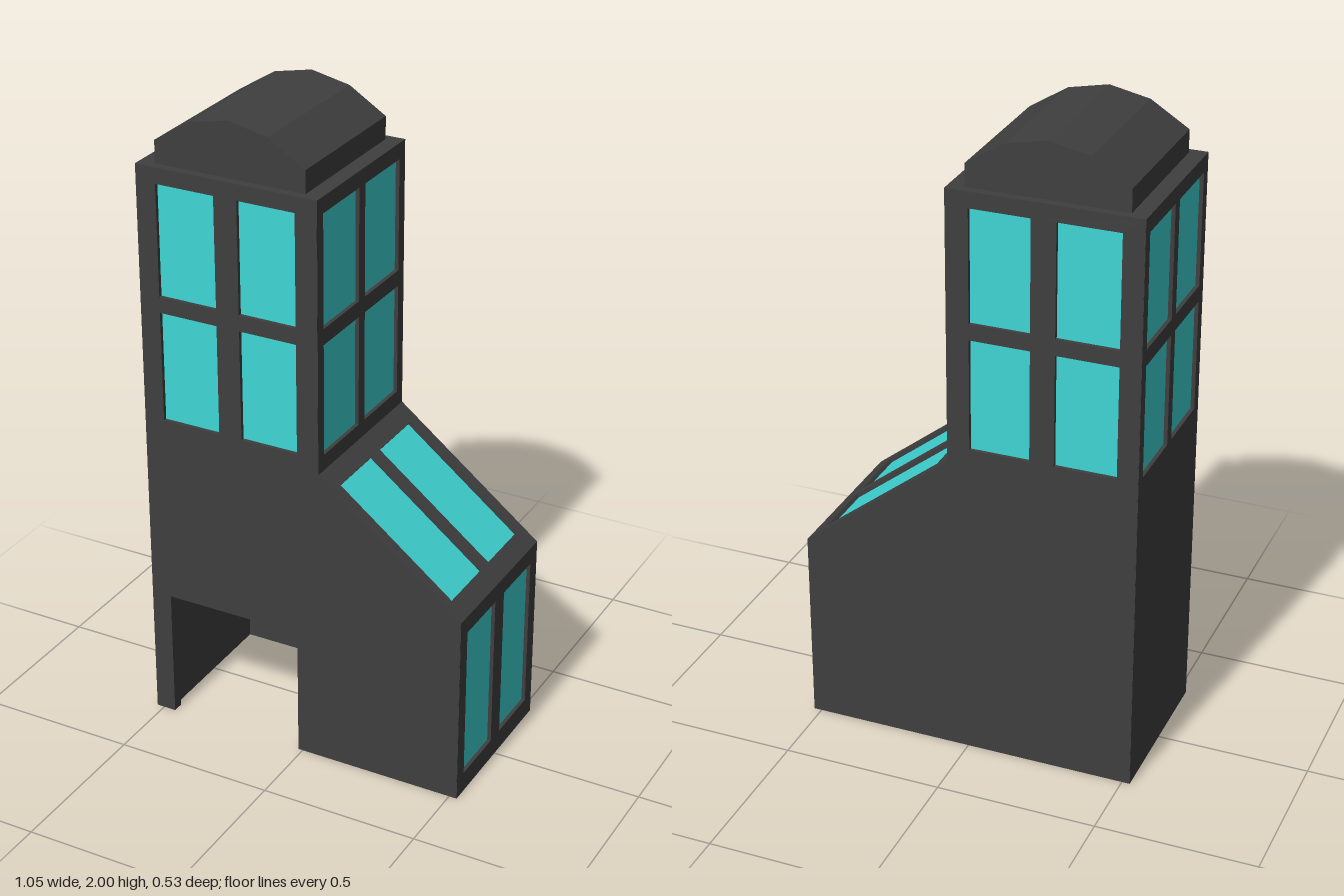
import * as THREE from 'three';

const wallMat = new THREE.MeshStandardMaterial({ color: 0x3f3f3f });
wallMat.name = 'charcoal';
const glassMat = new THREE.MeshStandardMaterial({ color: 0x40d6d6 });
glassMat.name = 'turquoise glass';

const HALF = 0.265;   // half depth of the building
const RECESS = 0.012; // how far the glass sits behind the wall face
const PANE = 0.02;

const outline = pts => new THREE.Shape(pts.map(([x, y]) => new THREE.Vector2(x, y)));

// Wall lying in local XY with its outer face at z = 0; windows are [x0, x1, y0, y1]
function wall(name, shape, windows, thick) {
  const group = new THREE.Group();
  group.name = name;
  for (const [x0, x1, y0, y1] of windows) {
    shape.holes.push(new THREE.Path([[x0, y0], [x0, y1], [x1, y1], [x1, y0]].map(p => new THREE.Vector2(...p))));
    const pane = new THREE.Mesh(new THREE.BoxGeometry(x1 - x0 + 0.006, y1 - y0 + 0.006, PANE), glassMat);
    pane.name = 'windowPane';
    pane.position.set((x0 + x1) / 2, (y0 + y1) / 2, -RECESS - PANE / 2);
    group.add(pane);
  }
  const geo = new THREE.ExtrudeGeometry(shape, { depth: thick, bevelEnabled: false });
  geo.translate(0, 0, -thick);
  const mesh = new THREE.Mesh(geo, wallMat);
  mesh.name = name + 'Panel';
  group.add(mesh);
  return group;
}

// Wall standing on the profile edge a-b (counter-clockwise), spanning the depth
function sideWall(name, a, b, windows) {
  const len = Math.hypot(b[0] - a[0], b[1] - a[1]);
  const dx = (b[0] - a[0]) / len, dy = (b[1] - a[1]) / len, w = HALF - 0.0005;
  const g = wall(name, outline([[0, -w], [len, -w], [len, w], [0, w]]), windows, 0.05);
  g.applyMatrix4(new THREE.Matrix4().makeBasis(
    new THREE.Vector3(dx, dy, 0), new THREE.Vector3(0, 0, 1), new THREE.Vector3(dy, -dx, 0)
  ).setPosition(a[0], a[1], 0));
  return g;
}

// All combinations of horizontal and vertical window ranges
const grid = (us, vs) => us.flatMap(u => vs.map(v => [...u, ...v]));
const pair = (inner, outer) => [[-outer, -inner], [inner, outer]];

export function createModel() {
  const model = new THREE.Group();
  model.name = 'towerHouse';

  const rows = [[1.03, 1.38], [1.43, 1.782]];
  const shift = f => rows.map(([a, b]) => [f(a), f(b)].sort((p, q) => p - q));

  // Tower and sloped wing, side by side along the profile
  const R = [0.525, 0], E = [0.525, 0.615], K = [0.06, 0.98], T = [0.06, 1.83], L = [-0.525, 1.83], B = [-0.525, 0];
  model.add(
    sideWall('wingEndWall', R, E, grid([[0.065, 0.56]], pair(0.03, 0.22))),
    sideWall('wingSlopedRoof', E, K, grid([[0.064, 0.527]], pair(0.022, 0.224))),
    sideWall('towerInnerWall', K, T, grid(shift(y => y - 0.98), pair(0.018, 0.2295))),
    sideWall('towerDeck', T, L, []),
    sideWall('towerOuterWall', L, B, grid(shift(y => 1.83 - y), pair(0.018, 0.2295)))
  );

  // Front wall with doorway, and back wall
  const top = [[0.524, 0], [0.524, 0.6145], [0.059, 0.9795], [0.059, 1.829], [-0.524, 1.829], [-0.524, 0]];
  const door = [[-0.46, 0], [-0.46, 0.42], [-0.015, 0.42], [-0.015, 0]];
  const cols = [[-0.46, -0.27], [-0.195, -0.01]];
  const front = wall('frontWall', outline([...top, ...door]), grid(cols, rows), 0.035);
  front.position.z = HALF;
  const back = wall('backWall', outline(top.map(([x, y]) => [-x, y]).reverse()),
    grid(cols.map(([a, b]) => [-b, -a]), rows), 0.035);
  back.rotation.y = Math.PI;
  back.position.z = -HALF;
  model.add(front, back);

  // Faceted barrel roof
  const roofShape = outline([[-0.475, 1.825], [0.01, 1.825], [0.01, 1.9], [-0.108, 1.974],
    [-0.2325, 2], [-0.357, 1.974], [-0.475, 1.9]]);
  const roofGeo = new THREE.ExtrudeGeometry(roofShape, { depth: 0.476, bevelEnabled: false });
  roofGeo.translate(0, 0, -0.238);
  const roof = new THREE.Mesh(roofGeo, wallMat);
  roof.name = 'barrelRoof';
  model.add(roof);

  return model;
}
